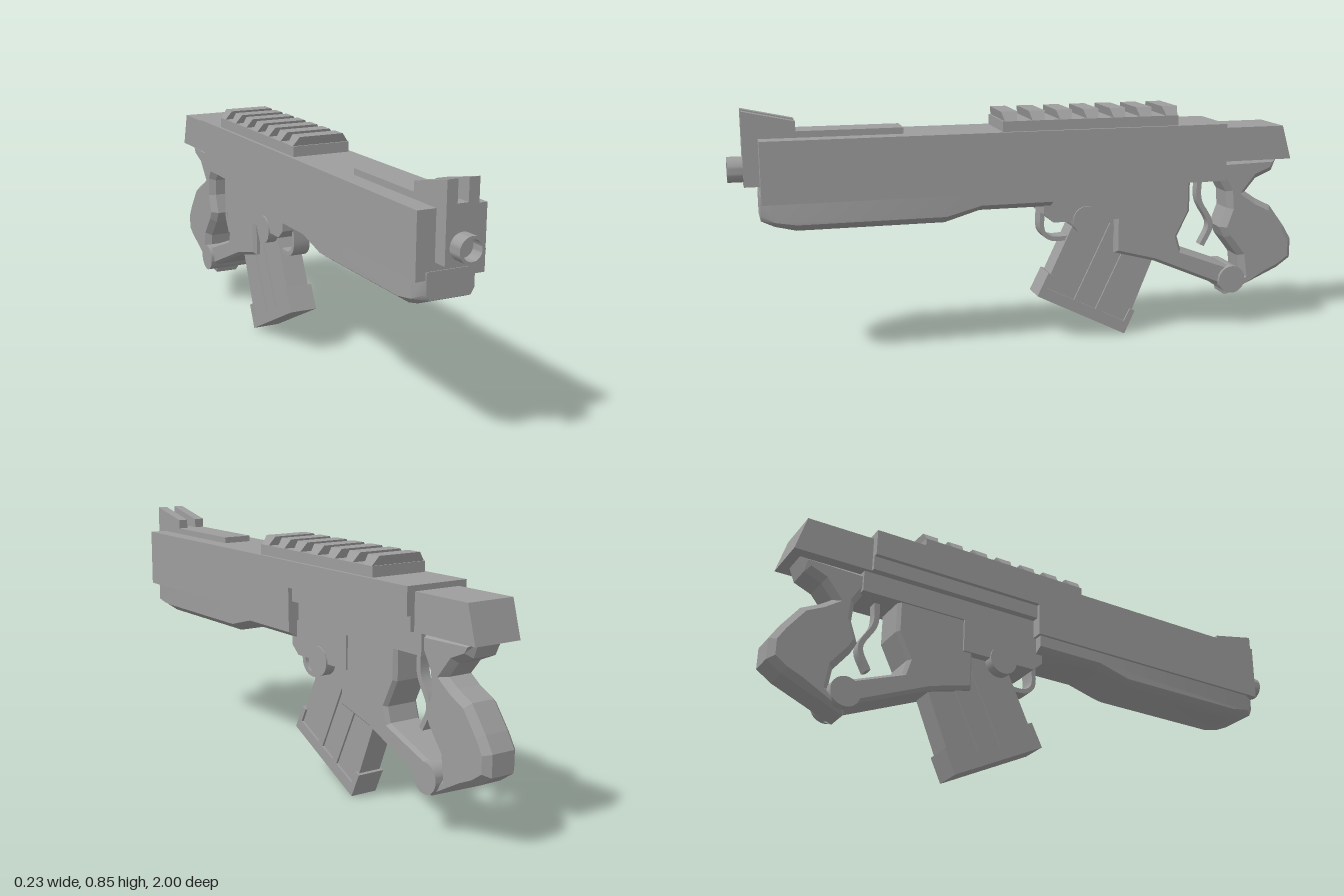
import * as THREE from 'three';
import { toCreasedNormals } from 'three/addons/utils/BufferGeometryUtils.js';
import { ConvexGeometry } from 'three/addons/geometries/ConvexGeometry.js';

const material = new THREE.MeshStandardMaterial({ color: 0x9d9d9d });

function add(group, name, geometry) {
  const mesh = new THREE.Mesh(geometry, material);
  mesh.name = name;
  group.add(mesh);
  return mesh;
}

// Side profile of [z, y] points, extruded across x and centred; optional chamfer
function slab(points, half, chamfer = 0) {
  const shape = new THREE.Shape(points.map(([z, y]) => new THREE.Vector2(z, y)));
  const depth = 2 * (half - chamfer);
  const geometry = new THREE.ExtrudeGeometry(shape, {
    depth, bevelEnabled: chamfer > 0, bevelSize: chamfer * 0.9,
    bevelOffset: -chamfer * 0.9, bevelThickness: chamfer, bevelSegments: 1,
  });
  return geometry.translate(0, 0, -depth / 2).rotateY(-Math.PI / 2);
}

const block = (z0, z1, y0, y1, half) => slab([[z0, y0], [z1, y0], [z1, y1], [z0, y1]], half);

// Pin lying across the model
function pin(z, y, radius, half) {
  const geometry = new THREE.CylinderGeometry(radius, radius, 2 * half, 32);
  return toCreasedNormals(geometry.rotateZ(Math.PI / 2).translate(0, y, z), 0.6);
}

// Softly shaded hull through sections [z, half width, side bottom, bottom half width, bottom]
function hull(sections, top) {
  const points = [];
  for (const [z, w, side, b, bottom] of sections) {
    for (const s of [-1, 1]) {
      points.push(new THREE.Vector3(s * w, top, z), new THREE.Vector3(s * w, side, z),
        new THREE.Vector3(s * b, bottom, z));
    }
  }
  return toCreasedNormals(new ConvexGeometry(points), 0.75);
}

// Thin strip following a [z, y] path
function strip(points, thickness, half) {
  const curve = new THREE.CatmullRomCurve3(points.map(([z, y]) => new THREE.Vector3(z, y, 0)));
  const outer = [], inner = [];
  for (let i = 0; i <= 16; i++) {
    const p = curve.getPoint(i / 16), t = curve.getTangent(i / 16);
    const nx = -t.y * thickness / 2, ny = t.x * thickness / 2;
    outer.push([p.x + nx, p.y + ny]);
    inner.unshift([p.x - nx, p.y - ny]);
  }
  return toCreasedNormals(slab([...outer, ...inner], half), 0.5);
}

export function createModel() {
  const model = new THREE.Group();
  model.name = 'blaster';

  // Upper body and rear block
  add(model, 'upperBody', slab([[0.9, 0.55], [0.9, 0.755], [-0.7, 0.755], [-0.7, 0.665],
    [-0.08, 0.665], [-0.08, 0.55]], 0.115));
  add(model, 'sideStep', block(-0.08, -0.7, 0.617, 0.67, 0.1));
  add(model, 'rearBlock', slab([[-0.65, 0.617], [-0.65, 0.737], [-0.928, 0.737], [-0.963, 0.617]], 0.086));

  // Handguard: deep front part, shallow rear part
  const rearSection = [0.18, 0.105, 0.51, 0.068, 0.488];
  add(model, 'handguardFront', hull([[0.903, 0.08, 0.51, 0.068, 0.49], [0.86, 0.105, 0.49, 0.08, 0.472],
    [0.79, 0.105, 0.478, 0.066, 0.452], [0.3, 0.105, 0.478, 0.066, 0.452], rearSection], 0.575));
  add(model, 'handguardRear', hull([rearSection, [-0.07, ...rearSection.slice(1)]], 0.56));

  // Front plate, sight prongs and top strip
  add(model, 'frontPlate', block(0.95, 0.88, 0.6, 0.775, 0.053));
  add(model, 'topStrip', block(0.9, 0.43, 0.75, 0.776, 0.053));
  for (const s of [-1, 1]) {
    add(model, 'sightProng', slab([[0.95, 0.76], [0.95, 0.845], [0.78, 0.808], [0.78, 0.76]], 0.0175))
      .position.x = s * 0.0355;
  }

  // Hollow muzzle
  const muzzleProfile = [[0.042, 0.93], [0.042, 1], [0.032, 1], [0.032, 0.955], [0, 0.955]]
    .map(([r, z]) => new THREE.Vector2(r, z));
  const muzzle = new THREE.LatheGeometry(muzzleProfile, 32).rotateX(Math.PI / 2);
  add(model, 'muzzle', toCreasedNormals(muzzle, 0.6)).position.set(0.003, 0.652, 0);

  // Accessory rail with seven flared teeth
  const rail = new THREE.Group();
  rail.name = 'rail';
  model.add(rail);
  add(rail, 'railBase', block(0.105, -0.52, 0.75, 0.79, 0.103));
  for (let i = 0; i < 7; i++) {
    const z = 0.078 - i * 0.0955, corners = [];
    for (const x of [-1, 1]) {
      for (const d of [-1, 1]) {
        corners.push(new THREE.Vector3(x * 0.103, 0.789, z + d * 0.02),
          new THREE.Vector3(x * 0.08, 0.82, z + d * 0.028));
      }
    }
    add(rail, 'railTooth', new ConvexGeometry(corners));
  }

  // Lower body, magazine well and trigger guard
  add(model, 'lowerBody', slab([[-0.045, 0.62], [-0.045, 0.46], [-0.08, 0.43], [-0.35, 0.43],
    [-0.35, 0.545], [-0.72, 0.545], [-0.72, 0.625], [-0.08, 0.625]], 0.074));
  add(model, 'triggerGuard', slab([[-0.31, 0.56], [-0.31, 0.305], [-0.46, 0.265], [-0.73, 0.15],
    [-0.77, 0.22], [-0.56, 0.3], [-0.545, 0.35], [-0.59, 0.44], [-0.59, 0.56]], 0.067, 0.012));
  add(model, 'frontPin', pin(-0.2, 0.432, 0.05, 0.08));
  add(model, 'guardPin', pin(-0.755, 0.18, 0.05, 0.08));
  add(model, 'trigger', strip([[-0.645, 0.56], [-0.645, 0.47], [-0.692, 0.375], [-0.66, 0.3]], 0.018, 0.018));
  add(model, 'frontLoop', strip([[-0.053, 0.47], [-0.055, 0.39], [-0.085, 0.364], [-0.17, 0.364]], 0.016, 0.031));

  // Slanted magazine with side ribs and lipped base
  const magazine = new THREE.Group();
  magazine.name = 'magazine';
  model.add(magazine);
  add(magazine, 'magazineBody', slab([[-0.05, 0.175], [-0.175, 0.44], [-0.42, 0.44], [-0.46, 0.27],
    [-0.36, 0.025]], 0.042));
  add(magazine, 'magazineBase', slab([[-0.03, 0.163], [-0.355, 0], [-0.393, 0.082], [-0.375, 0.091],
    [-0.353, 0.047], [-0.065, 0.189], [-0.088, 0.235], [-0.07, 0.244]], 0.05));
  for (const [z, y] of [[-0.165, 0.14], [-0.245, 0.1]]) {
    add(magazine, 'magazineRib', slab([[z, y], [z - 0.022, y - 0.011], [z - 0.152, y + 0.259],
      [z - 0.13, y + 0.27]], 0.049));
  }

  // Chamfered pistol grip
  add(model, 'grip', slab([[-0.7, 0.56], [-0.735, 0.5], [-0.74, 0.44], [-0.715, 0.37], [-0.735, 0.33],
    [-0.79, 0.26], [-0.8, 0.19], [-0.74, 0.135], [-0.745, 0.115], [-0.95, 0.205], [-1, 0.24], [-1, 0.31],
    [-0.97, 0.36], [-0.91, 0.44], [-0.85, 0.47], [-0.81, 0.497], [-0.85, 0.545], [-0.91, 0.57],
    [-0.93, 0.62], [-0.7, 0.62]], 0.064, 0.022));

  return model;
}
